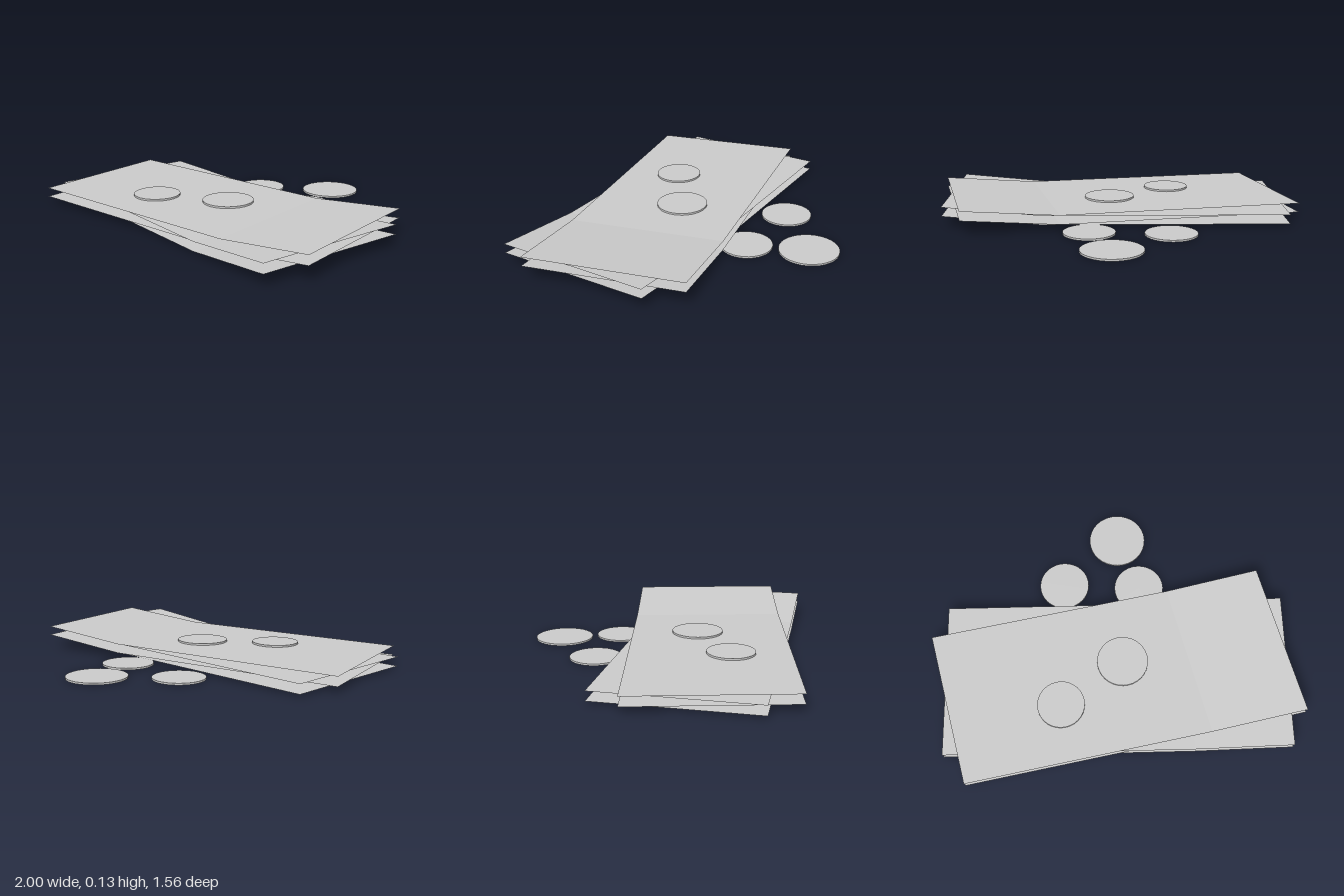
import * as THREE from 'three';

const material = new THREE.MeshStandardMaterial({ color: 0xcccccc, flatShading: true });
const sheetMaterial = new THREE.MeshStandardMaterial({ color: 0xcccccc, flatShading: true, side: THREE.DoubleSide });

const BEND = 0.72; // fraction of the length where the free end starts to lift
const LIFT = 0.047;

// Thin sheet spanned by a back-left corner, a length edge and a width edge (all x, z)
function note(name, y, [cx, cz], [ux, uz], [vx, vz]) {
  const geometry = new THREE.PlaneGeometry(1, 1, 2, 1);
  const p = geometry.attributes.position;
  for (let i = 0; i < p.count; i++) {
    const t = [0, BEND, 1][Math.round((p.getX(i) + 0.5) * 2)];
    const w = 0.5 - p.getY(i);
    p.setXYZ(i, cx + ux * t + vx * w, y + (t === 1 ? LIFT : 0), cz + uz * t + vz * w);
  }
  geometry.computeVertexNormals();
  const mesh = new THREE.Mesh(geometry, sheetMaterial);
  mesh.name = name;
  return mesh;
}

function coin(name, x, y, z, radius) {
  const height = 0.01;
  const mesh = new THREE.Mesh(new THREE.CylinderGeometry(radius, radius, height, 32), material);
  mesh.position.set(x, y + height / 2, z);
  mesh.name = name;
  return mesh;
}

export function createModel() {
  const group = new THREE.Group();
  group.name = 'notesAndCoins';

  // Straight and turned notes alternate up the stack
  [0.012, 0.061].forEach((y, i) =>
    group.add(note(`straightNote${i + 1}`, y, [-0.918, -0.203], [1.836, 0], [0, 0.825])));
  [0.031, 0.08].forEach((y, i) =>
    group.add(note(`turnedNote${i + 1}`, y, [-1, -0.027], [1.795, -0.338], [0.205, 0.805])));

  // Coins lying behind the stack
  group.add(coin('largeLooseCoin', 0.027, 0, -0.627, 0.158));
  group.add(coin('leftLooseCoin', 0.142, 0, -0.324, 0.137));
  group.add(coin('rightLooseCoin', -0.278, 0, -0.35, 0.137));

  // Coins resting on the top note
  group.add(coin('topCoin', 0.037, 0.08, 0.136, 0.137));
  group.add(coin('smallTopCoin', -0.295, 0.082, 0.37, 0.126));

  return group;
}
